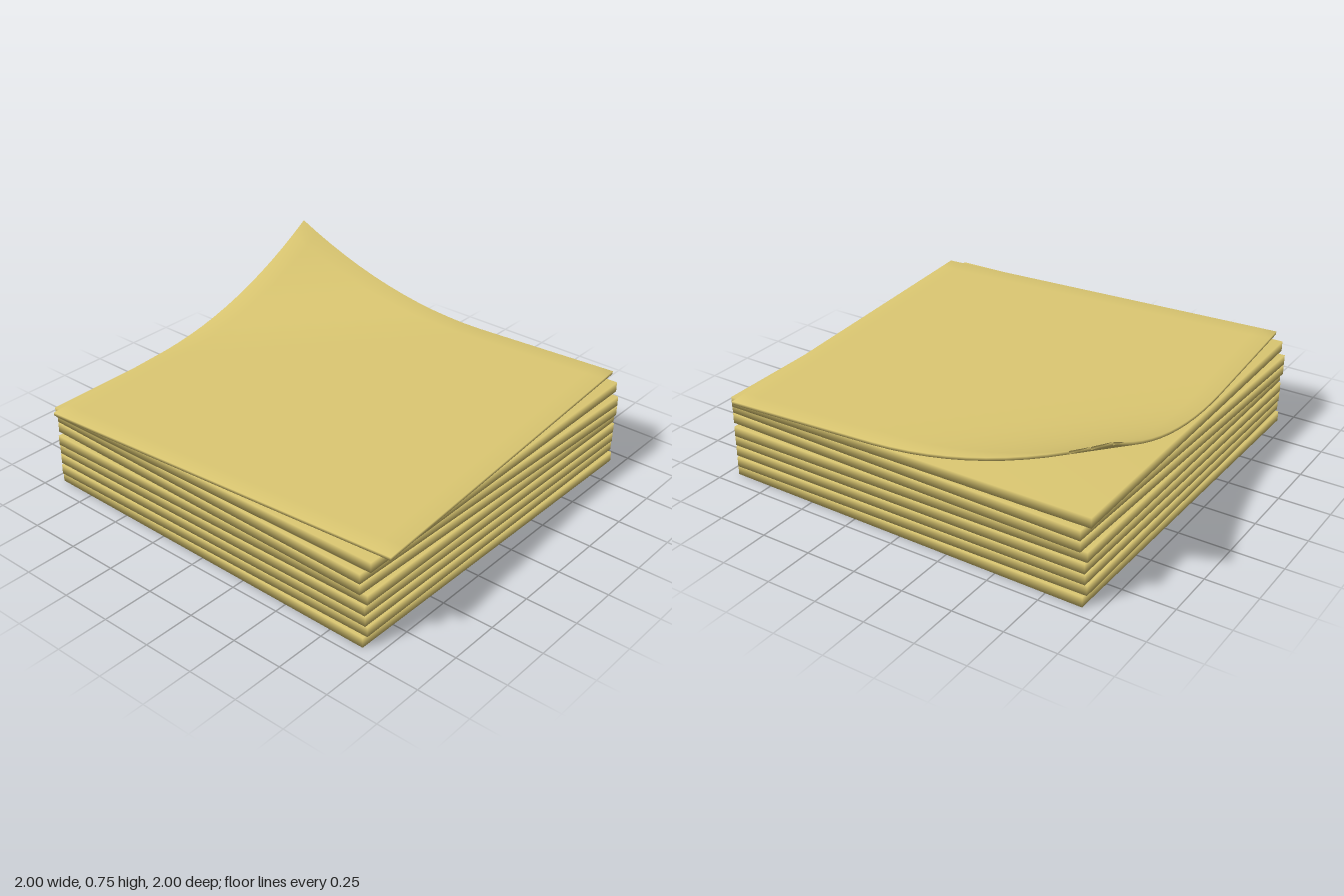
import * as THREE from 'three';
import { mergeVertices } from 'three/addons/utils/BufferGeometryUtils.js';

const SIDE = 1.872;
const HALF = SIDE / 2;

// Box with shared corners, so the shading rolls softly over its edges
function softBox(height, segments, lift) {
  let geo = new THREE.BoxGeometry(SIDE, height, SIDE, segments, 1, segments);
  geo.deleteAttribute('uv');
  geo.deleteAttribute('normal');
  geo = mergeVertices(geo, 1e-4);
  if (lift) {
    const p = geo.attributes.position;
    for (let i = 0; i < p.count; i++) {
      p.setY(i, p.getY(i) + lift(p.getX(i) / HALF, p.getZ(i) / HALF));
    }
  }
  geo.computeVertexNormals();
  return geo;
}

// The back left corner curls up quadratically along the diagonal
function cornerCurl(u, v) {
  const d = Math.max(0, (u - v - 0.77) / 1.23);
  return 0.312 * d * d;
}

export function createModel() {
  const group = new THREE.Group();
  group.name = 'notePad';
  const paper = new THREE.MeshStandardMaterial({ color: 0xdcc872 });
  paper.name = 'yellow paper';

  // Stack of slightly twisted paper layers
  const twists = [-0.01, 0.004, -0.003, -0.005, 0.003, -0.02, -0.021, 0.012];
  const layer = softBox(0.049, 1);
  twists.forEach((twist, i) => {
    const mesh = new THREE.Mesh(layer, paper);
    mesh.name = `paperLayer${i + 1}`;
    mesh.position.y = 0.0245 + i * 0.0532;
    mesh.rotation.y = twist;
    group.add(mesh);
  });

  // Loose top sheet with the curled corner
  const sheet = new THREE.Mesh(softBox(0.015, 20, cornerCurl), paper);
  sheet.name = 'curledTopSheet';
  sheet.position.y = 0.4325;
  sheet.rotation.y = 0.071;
  group.add(sheet);

  return group;
}
